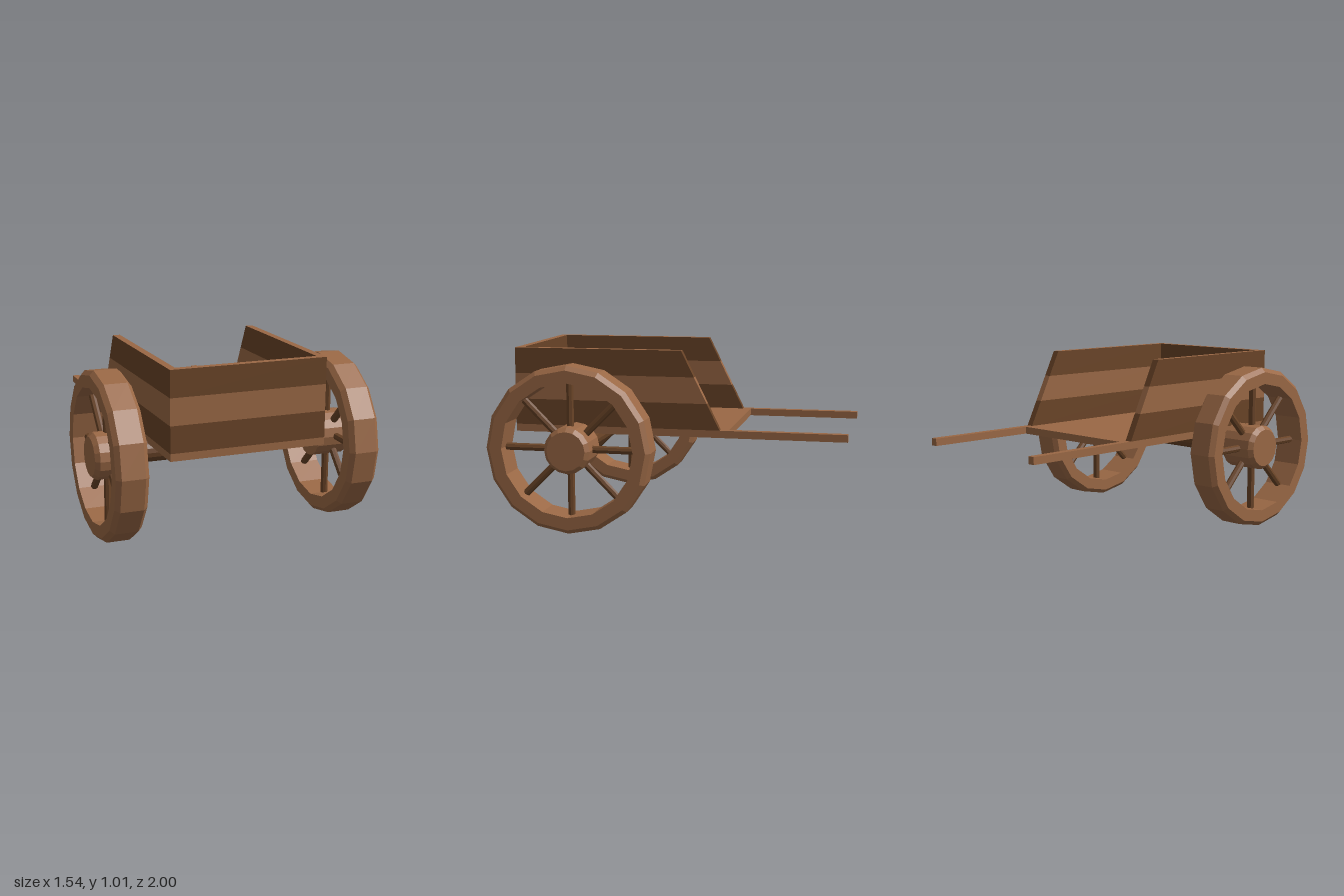
import * as THREE from 'three';

const wood = new THREE.MeshStandardMaterial({ color: 0x9a6845, flatShading: true });
const darkWood = new THREE.MeshStandardMaterial({ color: 0x6a4427, flatShading: true });

const AXLE_Y = 0.475, AXLE_Z = 0.526;
const HALF = 0.447, WALL = 0.042;          // half width of the cart, board thickness
const FLOOR_Y = 0.525, FLOOR_TOP = 0.567, WALL_TOP = 1.015;
const FRONT = 0.926;

function add(parent, name, geometry, material) {
  const mesh = new THREE.Mesh(geometry, material);
  mesh.name = name;
  parent.add(mesh);
  return mesh;
}

// Box given by its two corners
function box(x0, x1, y0, y1, z0, z1) {
  return new THREE.BoxGeometry(x1 - x0, y1 - y0, z1 - z0)
    .translate((x0 + x1) / 2, (y0 + y1) / 2, (z0 + z1) / 2);
}

function lathe(points, sides) {
  return new THREE.LatheGeometry(points.map(([r, y]) => new THREE.Vector2(r, y)), sides);
}

// Wheel built around the y axis, with y as the distance from the cart's middle
function createWheel(name) {
  const wheel = new THREE.Group();
  wheel.name = name;
  add(wheel, 'rim', lathe([[0.38, 0.58], [0.45, 0.58], [0.475, 0.605], [0.475, 0.735],
    [0.45, 0.76], [0.38, 0.76], [0.38, 0.58]], 16), wood);
  add(wheel, 'hub', lathe([[0, 0.555], [0.132, 0.555], [0.132, 0.745], [0.11, 0.77], [0, 0.77]], 16), wood);
  for (let i = 0; i < 8; i++) {
    const spoke = new THREE.CylinderGeometry(0.021, 0.021, 0.29, 8)
      .rotateX(Math.PI / 2).translate(0, 0.67, 0.245).rotateY(i * Math.PI / 4);
    add(wheel, 'spoke', spoke, darkWood);
  }
  return wheel;
}

export function createModel() {
  const cart = new THREE.Group();
  cart.name = 'handCart';

  // Floor
  add(cart, 'floor', box(-HALF + WALL, HALF - WALL, FLOOR_Y, FLOOR_TOP, -0.33, FRONT), wood);

  // Side beams that run back into the handles
  for (const s of [-1, 1]) {
    const x = s * (HALF - WALL / 2);
    add(cart, s > 0 ? 'leftHandle' : 'rightHandle',
      box(x - WALL / 2, x + WALL / 2, FLOOR_Y, FLOOR_TOP, -1, FRONT), wood);
  }

  // Three planks per wall, alternating dark and light, with a light top edge
  const backAt = y => -0.28 + 0.222 * (y - FLOOR_TOP) / (WALL_TOP - FLOOR_TOP);
  const step = (WALL_TOP - FLOOR_TOP) / 3;
  for (let i = 0; i < 3; i++) {
    const y0 = FLOOR_TOP + i * step, y1 = y0 + step;
    const tone = i === 1 ? wood : darkWood;
    const materials = [tone, tone, wood, tone, tone, tone];
    add(cart, 'frontPlank', box(-HALF, HALF, y0, y1, FRONT - WALL, FRONT), materials);
    for (const s of [-1, 1]) {
      const x = s * (HALF - WALL / 2);
      const geometry = box(x - WALL / 2, x + WALL / 2, y0, y1, -1, FRONT - WALL);
      // Slant the back end
      const p = geometry.attributes.position;
      for (let k = 0; k < p.count; k++) if (p.getZ(k) < 0) p.setZ(k, backAt(p.getY(k)));
      geometry.computeVertexNormals();
      add(cart, s > 0 ? 'leftPlank' : 'rightPlank', geometry, materials);
    }
  }

  // Axle and wheels
  const axle = add(cart, 'axle', new THREE.CylinderGeometry(0.065, 0.065, 1.14, 16), darkWood);
  axle.rotation.z = Math.PI / 2;
  axle.position.set(0, AXLE_Y, AXLE_Z);
  for (const s of [-1, 1]) {
    const wheel = createWheel(s > 0 ? 'leftWheel' : 'rightWheel');
    wheel.rotation.z = -s * Math.PI / 2;
    wheel.position.set(0, AXLE_Y, AXLE_Z);
    cart.add(wheel);
  }
  return cart;
}
